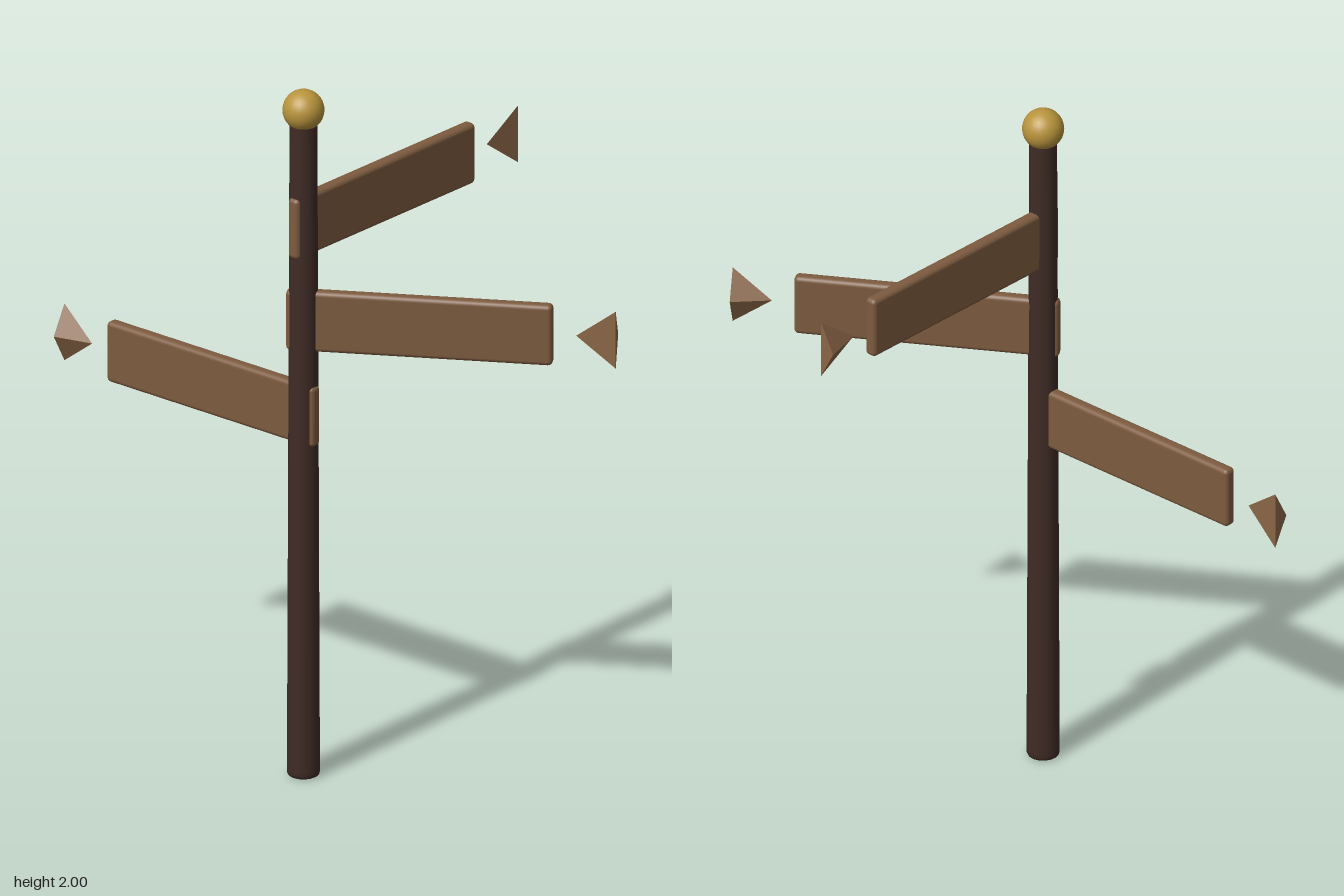
import * as THREE from 'three';
import { RoundedBoxGeometry } from 'three/addons/geometries/RoundedBoxGeometry.js';

const material = (color, flatShading = false) => new THREE.MeshStandardMaterial({ color, flatShading });

export function createModel() {
  const signpost = new THREE.Group();
  signpost.name = 'signpost';
  signpost.position.set(-0.26, 0, 0.125);

  const add = (parent, name, geometry, mat) => {
    const mesh = new THREE.Mesh(geometry, mat);
    mesh.name = name;
    parent.add(mesh);
    return mesh;
  };

  // Tapered pole with softened rims
  const profile = [[0, 0], [0.036, 0], [0.042, 0.003], [0.045, 0.01], [0.045, 0.02],
    [0.038, 1.9], [0.037, 1.92], [0.03, 1.925], [0, 1.925]];
  add(signpost, 'pole', new THREE.LatheGeometry(profile.map(p => new THREE.Vector2(...p)), 16), material(0x3f2b25));

  // Ball finial
  add(signpost, 'finial', new THREE.SphereGeometry(0.057, 24, 16), material(0xb8943c)).position.y = 1.943;

  // Plank passing through the pole, with a loose three-sided point beyond its end
  const wood = material(0x7d5b3f);
  const woodFlat = material(0x8a6646, true);
  const start = -0.046, end = 0.68;
  const plank = new RoundedBoxGeometry(end - start, 0.176, 0.037, 3, 0.013);
  const point = new THREE.ConeGeometry(0.096, 0.11, 3, 1, false, Math.PI)
    .rotateZ(Math.PI / 2)
    .scale(1, 1, 0.31);

  // Height and compass angle of each sign
  [['upperSign', 1.607, 17.1], ['middleSign', 1.33, -40], ['lowerSign', 1.057, 108.7]].forEach(([name, y, degrees]) => {
    const sign = new THREE.Group();
    sign.name = name;
    sign.position.y = y;
    sign.rotation.y = THREE.MathUtils.degToRad(degrees);
    add(sign, 'plank', plank, wood).position.x = (start + end) / 2;
    add(sign, 'arrowPoint', point, woodFlat).position.x = 0.798;
    signpost.add(sign);
  });

  const model = new THREE.Group();
  model.add(signpost);
  return model;
}
